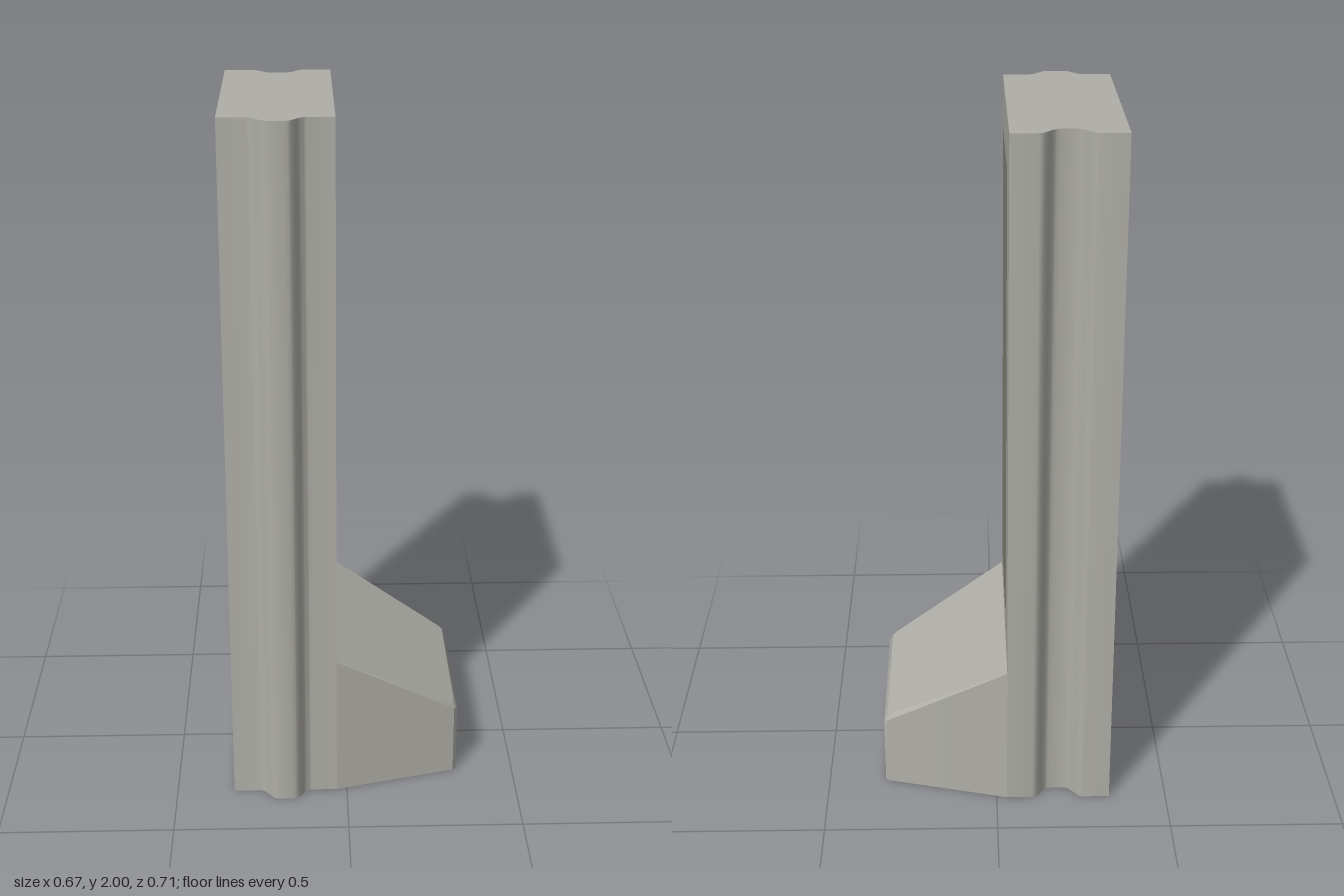
import * as THREE from 'three';
import { toCreasedNormals } from 'three/addons/utils/BufferGeometryUtils.js';

// Main dimensions
const BACK = -0.333, FACE = -0.03, NOSE = 0.332;
const FRONT_Z = 0.31, REAR_Z = -0.355, TOP = 2;
const FOOT_TOP = 0.43, FOOT_END = 0.222;

// Walls through rings of points that all have the same length
function loft(rings) {
  const pos = [];
  for (let r = 0; r < rings.length - 1; r++) {
    for (let i = 0; i < rings[r].length - 1; i++) {
      const a0 = rings[r][i], b0 = rings[r][i + 1];
      const a1 = rings[r + 1][i], b1 = rings[r + 1][i + 1];
      pos.push(...b0, ...a0, ...a1, ...b0, ...a1, ...b1);
    }
  }
  const g = new THREE.BufferGeometry();
  g.setAttribute('position', new THREE.Float32BufferAttribute(pos, 3));
  return toCreasedNormals(g, 0.6);
}

// Upward-facing lid over an [x, z] outline, with its height set by a rule
function lid(outline, height) {
  const shape = new THREE.Shape(outline.map(([x, z]) => new THREE.Vector2(x, -z)));
  const g = new THREE.ShapeGeometry(shape).rotateX(-Math.PI / 2);
  const p = g.attributes.position;
  for (let i = 0; i < p.count; i++) p.setY(i, height(p.getX(i)));
  g.computeVertexNormals();
  return g;
}

// Column side, from the face to the back, with a rounded tongue or groove
function sideProfile(z) {
  const pts = [[FACE, z]], n = 8, depth = 0.044;
  const ease = (t) => (1 - Math.cos(Math.PI * t)) / 2;
  for (let i = 0; i <= n; i++) pts.push([-0.105 - 0.052 * i / n, z + depth * ease(i / n)]);
  for (let i = 0; i <= n; i++) pts.push([-0.203 - 0.052 * i / n, z + depth * ease(1 - i / n)]);
  pts.push([BACK, z]);
  return pts;
}

export function createModel() {
  const body = new THREE.MeshStandardMaterial({ color: 0xb0afa8, side: THREE.DoubleSide });
  body.name = 'concrete grey';
  const panel = new THREE.MeshStandardMaterial({ color: 0x86847a });
  panel.name = 'panel grey';

  const group = new THREE.Group();
  const add = (name, geometry, material) => {
    const mesh = new THREE.Mesh(geometry, material);
    mesh.name = name;
    group.add(mesh);
  };
  const at = (outline, height) => outline.map(([x, z]) => [x, height(x), z]);

  // Hollow column: tongue on the front, groove on the rear, open underneath
  const column = [...sideProfile(FRONT_Z), ...sideProfile(REAR_Z).reverse()];
  add('columnWalls', loft([at(column, () => 0), at(column, () => TOP)]), body);
  add('columnTop', lid(column, () => TOP), body);
  const face = [[FACE, REAR_Z], [FACE, FRONT_Z]];
  add('columnFace', loft([at(face, () => FOOT_TOP), at(face, () => TOP)]), body);

  // Tapered foot with a sloping top and softened end, also open underneath
  const slope = (x) => FOOT_TOP + (FOOT_END - FOOT_TOP) * (x - FACE) / (NOSE - FACE);
  const foot = [[FACE, REAR_Z], [0.322, -0.264], [NOSE, -0.253],
    [NOSE, 0.205], [0.322, 0.217], [FACE, FRONT_Z]];
  const footInset = [[FACE, REAR_Z], [0.31, -0.256], [0.322, -0.245],
    [0.322, 0.197], [0.31, 0.209], [FACE, FRONT_Z]];
  const shoulder = (x) => slope(x) - 0.014 * (x - FACE) / (NOSE - FACE);
  add('footWalls', loft([at(foot, () => 0), at(foot, shoulder), at(footInset, slope)]), body);
  add('footTop', lid(footInset, slope), body);

  // Inset-coloured panels on both broad faces
  const addPanel = (name, x, bottom, dir) => {
    const top = 1.875;
    const g = new THREE.PlaneGeometry(0.427, top - bottom).rotateY(dir * Math.PI / 2);
    g.translate(x + dir * 0.002, (top + bottom) / 2, -0.022);
    add(name, g, panel);
  };
  addPanel('facePanel', FACE, 0.545, 1);
  addPanel('backPanel', BACK, 0.432, -1);

  return group;
}
